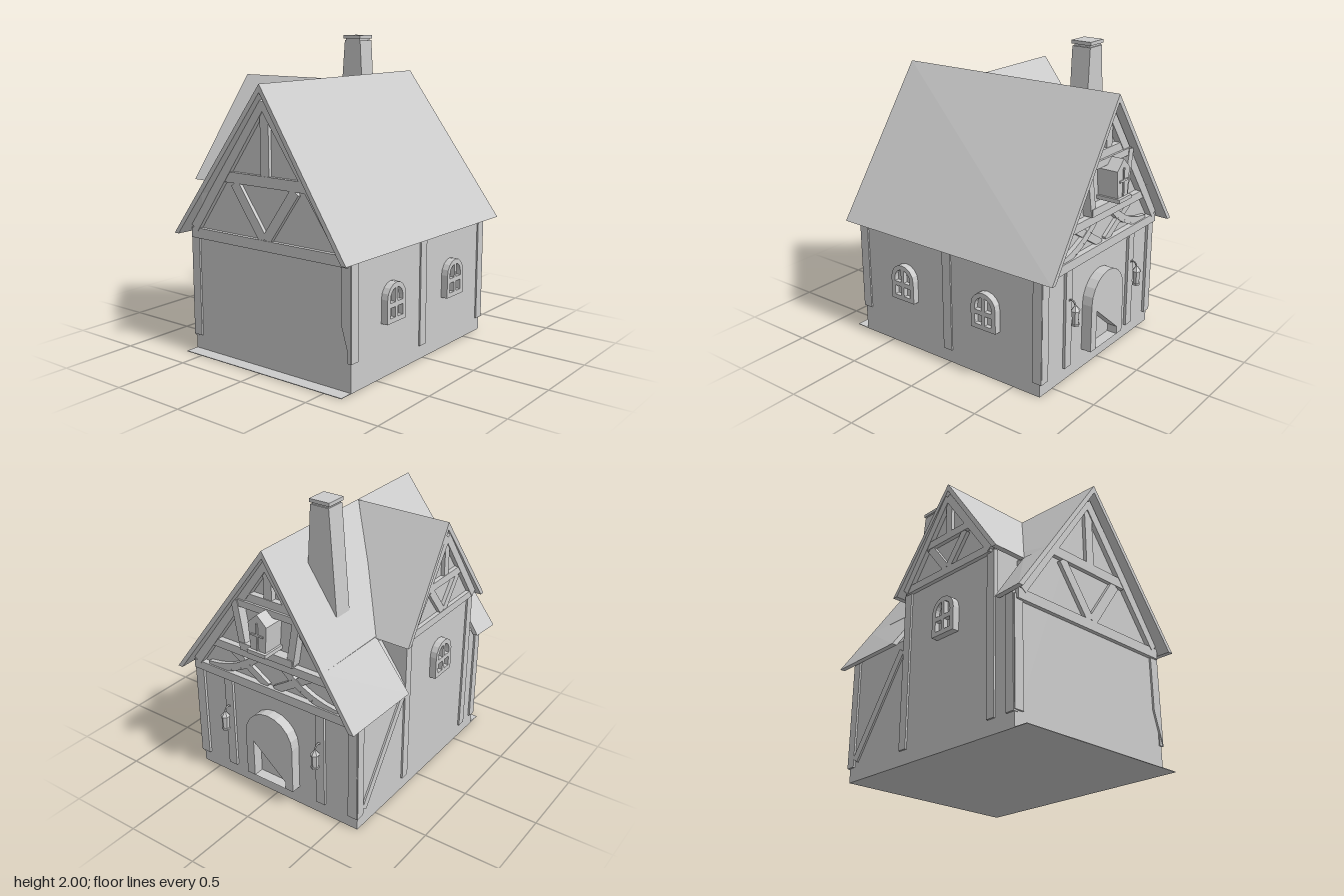
import * as THREE from 'three';
import { ConvexGeometry } from 'three/addons/geometries/ConvexGeometry.js';

const mat = new THREE.MeshStandardMaterial({ color: 0xcccccc, flatShading: true, side: THREE.DoubleSide });
const V = (x, y, z) => new THREE.Vector3(x, y, z);

function add(parent, name, geo, x = 0, y = 0, z = 0) {
  const m = new THREE.Mesh(geo, mat);
  m.name = name;
  m.position.set(x, y, z);
  parent.add(m);
  return m;
}
const box = (p, name, w, h, d, x, y, z) => add(p, name, new THREE.BoxGeometry(w, h, d), x, y, z);
const hull = (p, name, pts) => add(p, name, new ConvexGeometry(pts));
const shapeOf = (pts) => new THREE.Shape(pts.map(([x, y]) => new THREE.Vector2(x, y)));
const extrude = (shape, depth) => new THREE.ExtrudeGeometry(shape, { depth, bevelEnabled: false });

// Flat timber between two points on a wall, standing out by d
function beam(wall, name, x1, y1, x2, y2, w = 0.06, d = 0.02) {
  const len = Math.hypot(x2 - x1, y2 - y1);
  const m = box(wall, name, len, w, d + 0.02, (x1 + x2) / 2, (y1 + y2) / 2, d / 2 - 0.01);
  m.rotation.z = Math.atan2(y2 - y1, x2 - x1);
}

// Group whose local xy plane lies on a wall and whose +z points outward
function wallGroup(root, name, x, z, rotY) {
  const g = new THREE.Group();
  g.name = name;
  g.position.set(x, 0, z);
  g.rotation.y = rotY;
  root.add(g);
  return g;
}

// Outline with straight sides and a round head, springing at y = 0
function archPoints(r, bottom, n = 8) {
  const pts = [[-r, bottom], [r, bottom]];
  for (let i = 0; i <= n; i++) {
    const a = (i / n) * Math.PI;
    pts.push([r * Math.cos(a), r * Math.sin(a)]);
  }
  return pts;
}

// Arched window with four panes
function archWindow(wall, x, y) {
  const frame = shapeOf(archPoints(0.095, -0.15));
  for (const s of [-1, 1]) {
    frame.holes.push(shapeOf([[s * 0.012, -0.12], [s * 0.064, -0.12], [s * 0.064, -0.055], [s * 0.012, -0.055]]));
    const upper = [[s * 0.012, -0.025], [s * 0.064, -0.025]];
    for (let i = 0; i <= 4; i++) {
      const a = (i / 4) * 1.38;
      upper.push([s * 0.064 * Math.cos(a), 0.064 * Math.sin(a)]);
    }
    frame.holes.push(shapeOf(upper));
  }
  add(wall, 'windowFrame', extrude(frame, 0.05), x, y, -0.005);
  add(wall, 'windowGlass', extrude(shapeOf(archPoints(0.085, -0.14)), 0.02), x, y, -0.005);
}

// Lantern on a curved bracket
function lantern(wall, x) {
  const g = new THREE.Group();
  g.name = 'lantern';
  g.position.set(x, 0.45, 0.065);
  wall.add(g);
  add(g, 'lanternBody', new THREE.CylinderGeometry(0.027, 0.022, 0.09, 6), 0, 0, 0);
  add(g, 'lanternCap', new THREE.CylinderGeometry(0.008, 0.032, 0.03, 6), 0, 0.057, 0);
  add(g, 'lanternBase', new THREE.CylinderGeometry(0.028, 0.028, 0.012, 6), 0, -0.05, 0);
  const path = new THREE.CatmullRomCurve3([V(0, 0.065, 0), V(0, 0.095, -0.012), V(0, 0.1, -0.04), V(0, 0.08, -0.06)]);
  add(g, 'lanternHook', new THREE.TubeGeometry(path, 8, 0.006, 5), 0, 0, 0);
}

// Gable truss: rafters, sill, collar, king post and V braces
function truss(wall, o) {
  const { cx = 0, apex, half, slope, sill, collar, w, d } = o;
  const off = (w / 2) * Math.hypot(1, slope);
  for (const s of [-1, 1]) {
    beam(wall, 'rafter', cx, apex - off, cx + s * half, apex - off - half * slope, w, d);
    if (o.v) beam(wall, 'brace', cx + s * 0.01, sill + w / 2, cx + s * o.v, collar - w / 2, w, d * 0.8);
  }
  const reach = (y) => (apex - y) / slope - w / 2;
  beam(wall, 'sillBeam', cx - reach(sill), sill, cx + reach(sill), sill, w, d * 0.9);
  beam(wall, 'collarBeam', cx - reach(collar), collar, cx + reach(collar), collar, w, d * 0.9);
  beam(wall, 'kingPost', cx + 0.01, collar, cx + 0.01, apex - off, w, d * 0.8);
}

export function createModel() {
  const root = new THREE.Group();
  root.name = 'cottage';

  // Walls with gables, cross wing and ground plate
  add(root, 'walls', extrude(shapeOf([[-0.63, 0], [0.63, 0], [0.63, 0.81], [0, 1.695], [-0.63, 0.81]]), 1.45), 0, 0, -0.7);
  const wing = add(root, 'crossWing', extrude(shapeOf([[-0.4, 0.5], [0.4, 0.5], [0.4, 1.14], [0, 1.69], [-0.4, 1.14]]), 0.55), -0.08, 0, 0.2);
  wing.rotation.y = -Math.PI / 2;
  box(root, 'groundPlate', 1.26, 0.004, 0.46, 0, 0.002, 0.61);

  // Main roof; t runs from ridge to eave, e is the front or back end
  const ends = { front: { r: 0.02, '1': 0.675, '-1': -0.695, z0: 0.825, z1: 0.855 }, back: { r: -0.02, '1': 0.69, '-1': -0.68, z0: -0.79, z1: -0.82 } };
  const roofPair = (s, t, end, zFixed) => {
    const e = ends[end];
    const x = e.r + (e[s] - e.r) * t, y = 1.75 - 0.97 * t;
    const z = zFixed ?? e.z0 + (e.z1 - e.z0) * t;
    return t === 1 ? [V(x, y, z), V(x - s * 0.035, y, z)] : [V(x, y, z), V(x, y - 0.05, z)];
  };
  const slab = (name, s, t0, t1, zf, zb) => hull(root, name, [
    ...roofPair(s, t0, 'front', zf?.[0]), ...roofPair(s, t1, 'front', zf?.[1]),
    ...roofPair(s, t0, 'back', zb?.[0]), ...roofPair(s, t1, 'back', zb?.[1])]);
  slab('leftRoof', 1, 0, 1);
  slab('rightRoofUpper', -1, 0, 0.66);
  slab('rightRoofBack', -1, 0.66, 1, [-0.26, -0.25]);
  slab('rightRoofFront', -1, 0.66, 1, null, [0.66, 0.65]);

  // Cross wing roof
  for (const s of [-1, 1]) {
    const e = 0.2 + s * 0.47, i = 0.2 + s * 0.435;
    hull(root, 'wingRoof', [
      V(0, 1.748, 0.2), V(-0.66, 1.748, 0.2), V(0, 1.7, 0.2), V(-0.66, 1.7, 0.2),
      V(-0.46, 1.1, e), V(-0.69, 1.1, e), V(-0.46, 1.1, i), V(-0.69, 1.1, i)]);
  }

  // Chimney with stepped cap
  const chimney = [];
  for (const z of [-0.495, -0.365]) chimney.push(V(-0.337, 1.2, z), V(-0.1, 1.2, z), V(-0.275, 1.965, z), V(-0.145, 1.965, z));
  hull(root, 'chimney', chimney);
  box(root, 'chimneyNeck', 0.115, 0.02, 0.115, -0.212, 1.972, -0.43);
  box(root, 'chimneyCap', 0.14, 0.022, 0.14, -0.212, 1.989, -0.43);

  // Front wall
  const front = wallGroup(root, 'frontWall', 0, 0.75, 0);
  beam(front, 'cornerPost', -0.603, 0.1, -0.603, 0.78, 0.065, 0.012);
  add(front, 'cornerPost', extrude(shapeOf([[0.57, 0.78], [0.57, 0.4], [0.636, 0.18], [0.636, 0.78]]), 0.015), 0, 0, -0.003);
  truss(front, { apex: 1.7, half: 0.59, slope: 1.405, sill: 0.782, collar: 1.17, w: 0.066, d: 0.03, v: 0.24 });

  // Back wall with door, lanterns and window bay
  const back = wallGroup(root, 'backWall', 0, -0.7, Math.PI);
  for (const x of [-0.603, -0.36, 0.36, 0.603]) beam(back, 'post', x, 0.09, x, 0.78, 0.065, 0.018);
  truss(back, { apex: 1.7, half: 0.59, slope: 1.405, sill: 0.785, collar: 1.39, w: 0.06, d: 0.045 });
  beam(back, 'middleBeam', -0.47, 1.0, 0.47, 1.0, 0.055, 0.04);
  const arch = shapeOf(archPoints(0.185, -0.315, 10));
  // Open-bottomed ring
  const ring = archPoints(0.185, -0.315, 10).slice(1);
  const inner = archPoints(0.125, -0.315, 10).slice(1).reverse();
  arch.setFromPoints([...ring, [-0.185, -0.315], [-0.125, -0.315], ...inner].map(([x, y]) => new THREE.Vector2(x, y)));
  add(back, 'doorArch', extrude(arch, 0.075), 0, 0.445, -0.005);
  for (const s of [-1, 1]) {
    lantern(back, s * 0.36);
    // Curved braces between the two lower beams
    const curve = new THREE.QuadraticBezierCurve(new THREE.Vector2(s * 0.5, 0.81), new THREE.Vector2(s * 0.26, 0.83), new THREE.Vector2(s * 0.1, 0.99));
    const pts = curve.getPoints(5);
    for (let i = 0; i < 5; i++) beam(back, 'curvedBrace', pts[i].x, pts[i].y, pts[i + 1].x, pts[i + 1].y, 0.05, 0.03);
    beam(back, 'crossBrace', s * 0.03, 0.81, s * 0.3, 0.98, 0.05, 0.025);
    beam(back, 'bayFrameSide', s * 0.18, 1.05, s * 0.235, 1.36, 0.05, 0.06);
  }
  beam(back, 'bayFrameBottom', -0.2, 1.06, 0.2, 1.06, 0.05, 0.065);
  beam(back, 'bayFrameTop', -0.24, 1.345, 0.24, 1.345, 0.045, 0.055);
  add(back, 'bayWindow', extrude(shapeOf([[-0.055, 1.12], [0.055, 1.12], [0.07, 1.3], [0, 1.365], [-0.07, 1.3]]), 0.14), 0.01, 0, 0);
  box(back, 'baySill', 0.14, 0.025, 0.16, 0.01, 1.115, 0.08);
  box(back, 'bayMullion', 0.012, 0.18, 0.01, 0.01, 1.22, 0.142);
  box(back, 'bayCrossbar', 0.09, 0.012, 0.01, 0.01, 1.23, 0.142);

  // Left wall
  const left = wallGroup(root, 'leftWall', 0.63, 0, Math.PI / 2);
  for (const z of [-0.683, 0.015, 0.725]) beam(left, 'post', -z, z > 0.5 ? 0.18 : 0.09, -z, 0.8, 0.066, 0.01);
  for (const z of [0.36, -0.305]) archWindow(left, -z, 0.493);

  // Right wall with brace and cross wing gable
  const right = wallGroup(root, 'rightWall', -0.63, 0, -Math.PI / 2);
  for (const [z, top] of [[-0.683, 0.8], [-0.175, 1.12], [0.575, 1.12], [0.725, 0.8]]) beam(right, 'post', z, 0.09, z, top, 0.06, 0.012);
  beam(right, 'longBrace', -0.64, 0.13, -0.22, 0.74, 0.05, 0.012);
  archWindow(right, 0.2, 0.853);
  truss(right, { cx: 0.2, apex: 1.695, half: 0.385, slope: 1.375, sill: 1.13, collar: 1.37, w: 0.05, d: 0.03, v: 0.16 });

  return root;
}
